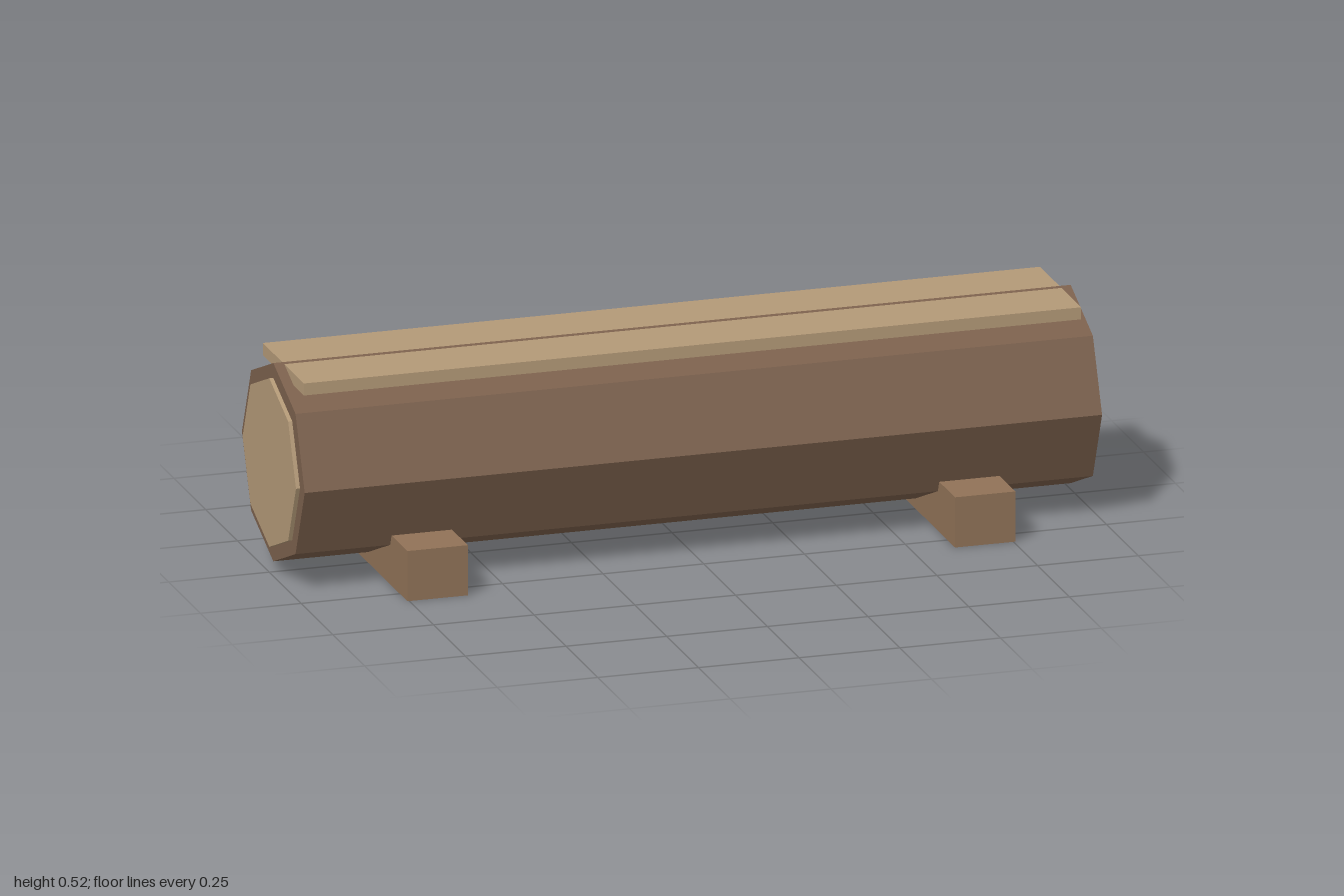
import * as THREE from 'three';

export function createModel() {
  const group = new THREE.Group();
  const material = (color) => new THREE.MeshStandardMaterial({ color, flatShading: true });
  const bark = material(0x7b604c);
  const cutWood = material(0xb39977);
  const blockWood = material(0x907257);

  const add = (name, geometry, mat, x, y, z) => {
    const mesh = new THREE.Mesh(geometry, mat);
    mesh.name = name;
    mesh.position.set(x, y, z);
    group.add(mesh);
  };

  // Eight-sided bar lying along x, with a corner pointing up
  const octagonBar = (radius, length) =>
    new THREE.CylinderGeometry(radius, radius, length, 8).rotateZ(Math.PI / 2);

  // Log body
  const axisY = 0.273;
  add('log', octagonBar(0.247, 1.98), bark, 0, axisY, 0);

  // Flat seat plank, with the log's ridge showing through its middle
  add('seatPlank', new THREE.BoxGeometry(1.93, 0.03, 0.324), cutWood, 0, 0.502, 0);

  // Cut end discs and cross blocks under each end
  for (const [side, s] of [['left', 1], ['right', -1]]) {
    add(side + 'CutEnd', octagonBar(0.21, 0.03), cutWood, s * 0.985, axisY, 0);
    add(side + 'SupportBlock', new THREE.BoxGeometry(0.15, 0.125, 0.62), blockWood, s * 0.68, 0.0625, 0);
  }

  return group;
}
